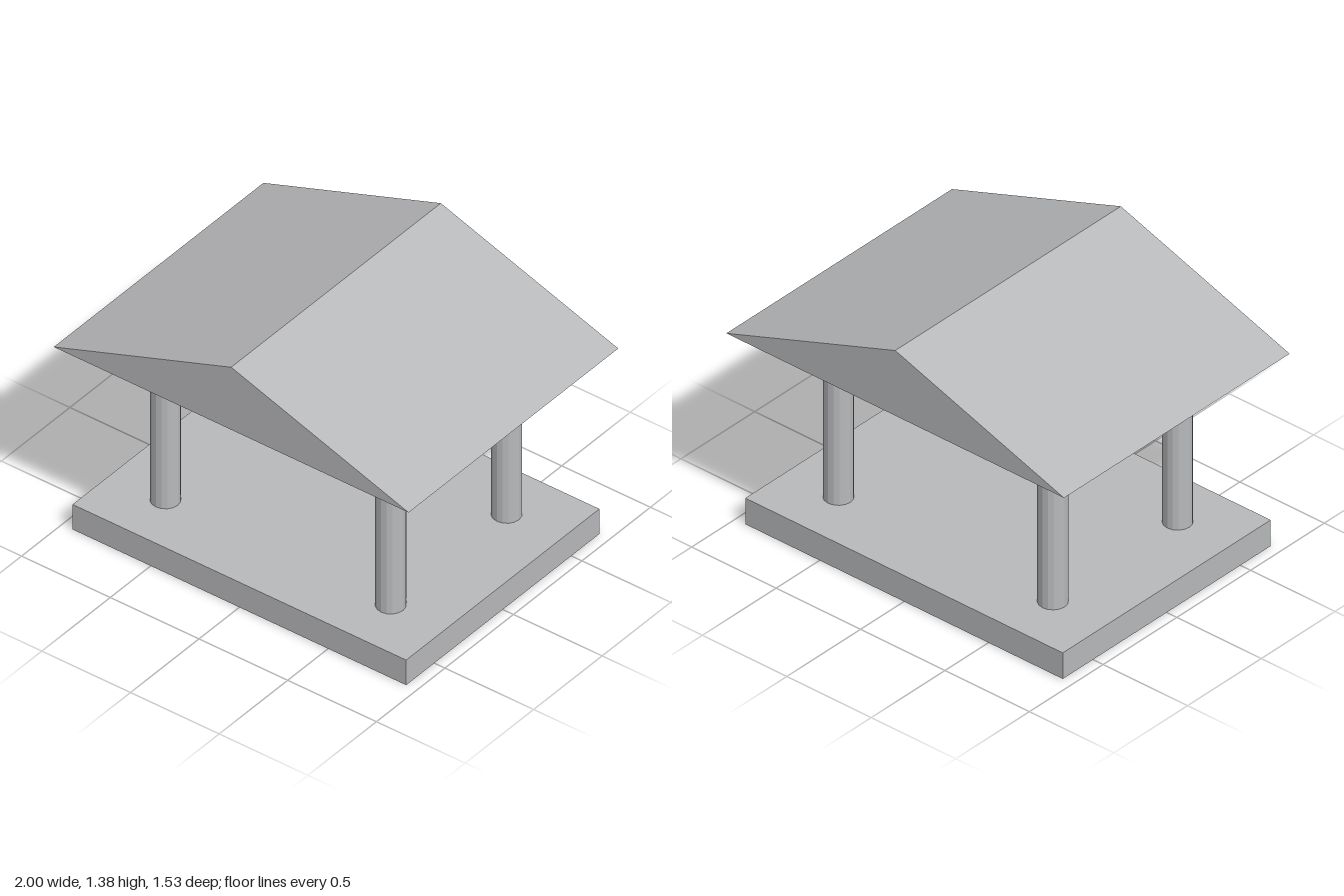
import * as THREE from 'three';

export function createModel() {
  const stone = new THREE.MeshStandardMaterial({ color: 0xb8b9bb, flatShading: true });
  stone.name = 'stone grey';

  const baseHeight = 0.14, eavesHeight = 1.03, ridgeHeight = 1.38, roofDepth = 1.53;
  const columnHeight = eavesHeight - baseHeight;
  const model = new THREE.Group();
  model.name = 'pavilion';

  const add = (name, geometry, x, y, z) => {
    const mesh = new THREE.Mesh(geometry, stone);
    mesh.name = name;
    mesh.position.set(x, y, z);
    model.add(mesh);
  };

  // Floor slab
  add('base', new THREE.BoxGeometry(1.88, baseHeight, 1.41), 0, baseHeight / 2, 0);

  // Four corner columns
  const column = new THREE.CylinderGeometry(0.07, 0.07, columnHeight, 16);
  for (const [xSide, xName] of [[1, 'Left'], [-1, 'Right']]) {
    for (const [zSide, zName] of [[1, 'front'], [-1, 'back']]) {
      add(`${zName}${xName}Column`, column, xSide * 0.635, baseHeight + columnHeight / 2, zSide * 0.423);
    }
  }

  // Solid gable roof with its ridge running front to back
  const gable = new THREE.Shape();
  gable.moveTo(-1, 0);
  gable.lineTo(1, 0);
  gable.lineTo(0, ridgeHeight - eavesHeight);
  gable.closePath();
  const roof = new THREE.ExtrudeGeometry(gable, { depth: roofDepth, bevelEnabled: false });
  add('roof', roof, 0, eavesHeight, -roofDepth / 2);

  return model;
}
